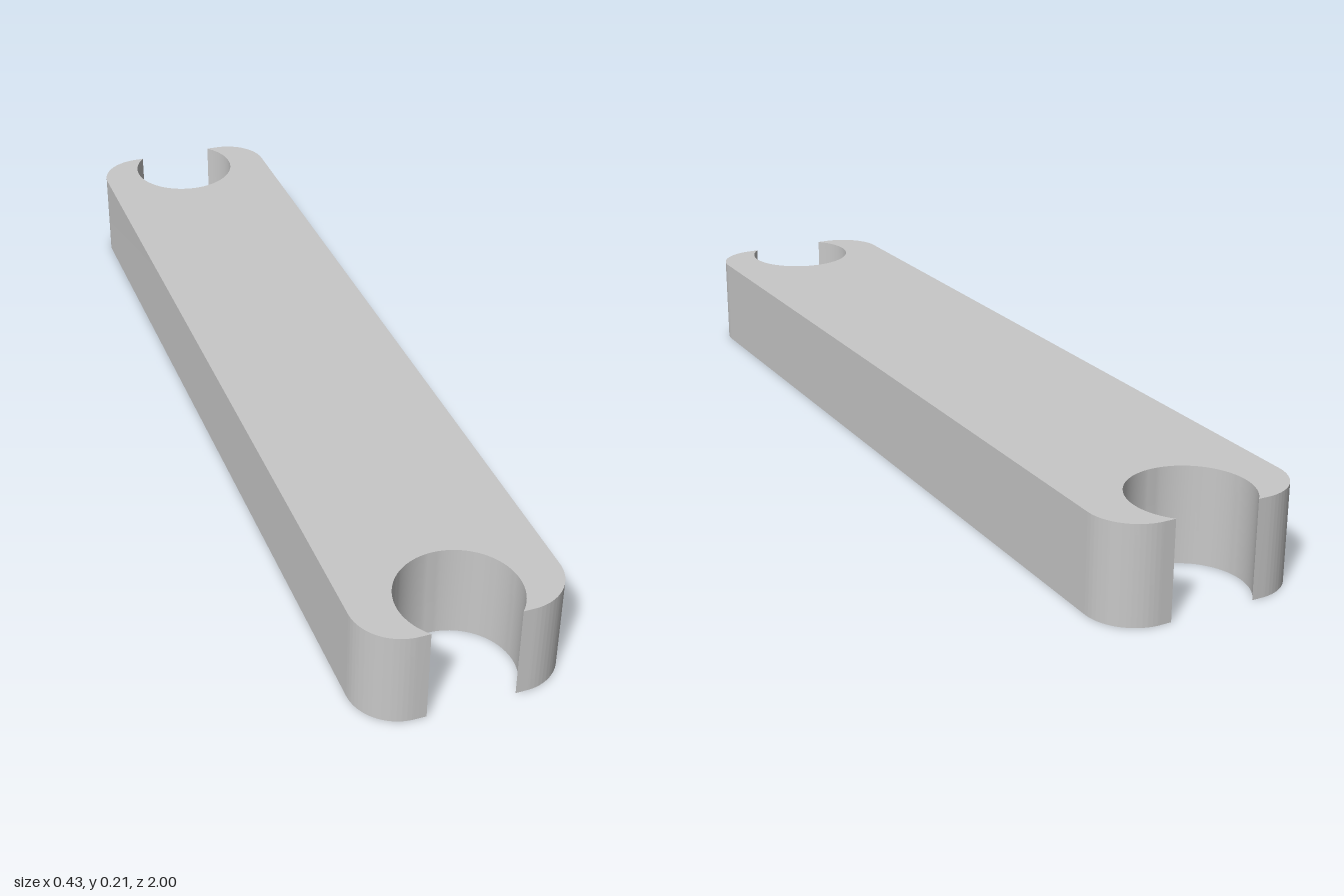
import * as THREE from 'three';
import { toCreasedNormals } from 'three/addons/utils/BufferGeometryUtils.js';

const W = 0.215, L = 1, H = 0.207;      // half width, half length, height
const R = 0.1;                          // corner radius
const NOTCH_R = 0.125, NOTCH_Z = 0.915; // round notch at each end
const SLOT_W = 0.1, SLOT_L = 0.72, SLOT_D = 0.08; // recess underneath
const SEG = 32;

// Rounded bar with an open round notch in each end (counter-clockwise)
function barOutline() {
  const s = new THREE.Shape();
  const a = Math.asin((L - NOTCH_Z) / NOTCH_R);
  s.moveTo(W, -L + R);
  s.lineTo(W, L - R);
  s.absarc(W - R, L - R, R, 0, Math.PI / 2, false);
  s.absarc(0, NOTCH_Z, NOTCH_R, a, Math.PI - a, true);
  s.absarc(-W + R, L - R, R, Math.PI / 2, Math.PI, false);
  s.absarc(-W + R, -L + R, R, Math.PI, Math.PI * 1.5, false);
  s.absarc(0, -NOTCH_Z, NOTCH_R, Math.PI + a, Math.PI * 2 - a, true);
  s.absarc(W - R, -L + R, R, Math.PI * 1.5, Math.PI * 2, false);
  return s;
}

// Clockwise rectangle, so its walls face inward
function slotOutline() {
  return new THREE.Shape([[1, 1], [1, -1], [-1, -1], [-1, 1]]
    .map(([x, z]) => new THREE.Vector2(x * SLOT_W, z * SLOT_L)));
}

// Upright wall following a closed outline
function wall(shape, height) {
  const pts = shape.getPoints(SEG), pos = [];
  pts.forEach((p, i) => {
    const q = pts[(i + 1) % pts.length];
    if (p.distanceTo(q) < 1e-6) return;
    pos.push(p.x, p.y, 0, q.x, q.y, 0, q.x, q.y, height);
    pos.push(p.x, p.y, 0, q.x, q.y, height, p.x, p.y, height);
  });
  const g = new THREE.BufferGeometry();
  g.setAttribute('position', new THREE.Float32BufferAttribute(pos, 3));
  return toCreasedNormals(g.rotateX(-Math.PI / 2), 0.5);
}

// Flat face of an outline, looking up or down
function face(shape, y, up) {
  return new THREE.ShapeGeometry(shape, SEG).rotateX(up ? -Math.PI / 2 : Math.PI / 2).translate(0, y, 0);
}

export function createModel() {
  const group = new THREE.Group();
  group.name = 'notchedBar';
  const grey = new THREE.MeshStandardMaterial({ color: 0xc8c8c8 });
  grey.name = 'light grey';

  const add = (name, geometry) => {
    const mesh = new THREE.Mesh(geometry, grey);
    mesh.name = name;
    group.add(mesh);
  };

  const bottom = barOutline();
  bottom.holes.push(slotOutline());

  add('topFace', face(barOutline(), H, true));
  add('sideWalls', wall(barOutline(), H));
  add('bottomFace', face(bottom, 0, false));
  add('recessWalls', wall(slotOutline(), SLOT_D));
  add('recessCeiling', face(slotOutline(), SLOT_D, false));
  return group;
}
